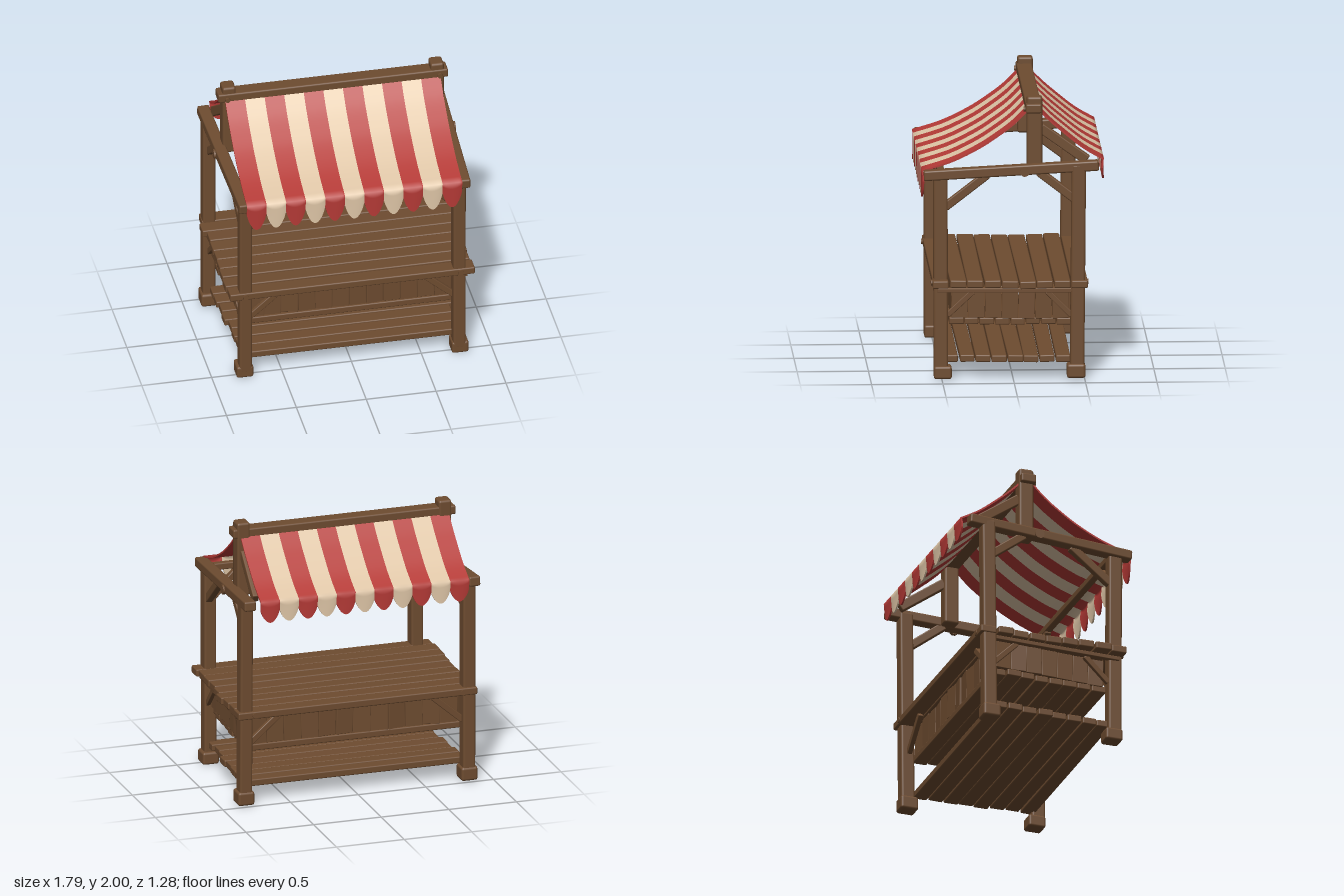
import * as THREE from 'three';
import { mergeGeometries } from 'three/addons/utils/BufferGeometryUtils.js';
import { RoundedBoxGeometry } from 'three/addons/geometries/RoundedBoxGeometry.js';

const mat = (name, color, side = THREE.FrontSide) => {
  const m = new THREE.MeshStandardMaterial({ color, side });
  m.name = name;
  return m;
};

export function createModel() {
  const group = new THREE.Group();
  const wood = mat('brown wood', 0x6e4c30);
  const red = mat('red cloth', 0xb53a36, THREE.DoubleSide);
  const cream = mat('cream cloth', 0xdfc6a7, THREE.DoubleSide);

  // Seeded variation for hand-cut planks
  let seed = 7;
  const vary = (amount) => {
    seed = (seed * 16807) % 2147483647;
    return (seed / 2147483647 - 0.5) * 2 * amount;
  };

  const add = (name, geometry, material = wood) => {
    const mesh = new THREE.Mesh(geometry, material);
    mesh.name = name;
    group.add(mesh);
    return mesh;
  };

  const block = (name, x, y, z, w, h, d) => {
    const radius = Math.min(w, h, d) * 0.18;
    const mesh = add(name, new RoundedBoxGeometry(w, h, d, 2, radius));
    mesh.position.set(x, y, z);
    return mesh;
  };

  // Timber running from a to b; w is its sideways width, h its height
  const beam = (name, a, b, w, h) => {
    const p = new THREE.Vector3(...a), q = new THREE.Vector3(...b);
    const dir = q.clone().sub(p);
    const mesh = block(name, 0, 0, 0, w, h, dir.length());
    dir.normalize();
    const up = Math.abs(dir.y) > 0.95 ? new THREE.Vector3(0, 0, 1) : new THREE.Vector3(0, 1, 0);
    const side = up.cross(dir).normalize();
    mesh.quaternion.setFromRotationMatrix(
      new THREE.Matrix4().makeBasis(side, dir.clone().cross(side), dir));
    mesh.position.copy(p.add(q).multiplyScalar(0.5));
    return mesh;
  };

  const bolt = (name, x, y, z, radius, alongX) => {
    const mesh = add(name, new THREE.CylinderGeometry(radius, radius, 0.025, 10));
    mesh.rotation[alongX ? 'z' : 'x'] = Math.PI / 2;
    mesh.position.set(x, y, z);
  };

  for (const s of [-1, 1]) {
    // Posts and feet, set wider apart at the back
    beam('frontPost', [s * 0.765, 0.04, 0.505], [s * 0.765, 1.45, 0.508], 0.09, 0.1);
    beam('backPost', [s * 0.825, 0.04, -0.447], [s * 0.822, 1.53, -0.46], 0.092, 0.1);
    block('frontFoot', s * 0.77, 0.045, 0.492, 0.12, 0.09, 0.125);
    block('backFoot', s * 0.825, 0.06, -0.44, 0.12, 0.1, 0.13);

    // Roof frame
    beam('rafter', [s * 0.785, 1.447, 0.625], [s * 0.83, 1.52, -0.6], 0.085, 0.072);
    beam('kingPost', [s * 0.745, 1.46, -0.152], [s * 0.745, 2, -0.152], 0.095, 0.108);
    beam('kingBrace', [s * 0.745, 1.775, -0.195], [s * 0.765, 1.545, -0.52], 0.05, 0.07);
    beam('frontRafterBrace', [s * 0.775, 1.22, 0.475], [s * 0.785, 1.45, 0.18], 0.05, 0.06);
    beam('backRafterBrace', [s * 0.815, 1.28, -0.43], [s * 0.8, 1.47, -0.18], 0.05, 0.06);
    beam('eaveBrace', [s * 0.75, 1.21, 0.5], [s * 0.53, 1.43, 0.5], 0.045, 0.05);
    bolt('rafterBolt', s * 0.853, 1.48, -0.08, 0.035, true);
    bolt('ridgeBolt', s * 0.76, 1.91, -0.088, 0.018, false);

    // Side rail and braces under the counter
    beam('sideRail', [s * 0.805, 0.632, 0.53], [s * 0.845, 0.632, -0.47], 0.04, 0.03);
    beam('frontSideBrace', [s * 0.785, 0.45, 0.46], [s * 0.795, 0.62, 0.28], 0.03, 0.04);
    beam('backSideBrace', [s * 0.825, 0.45, -0.41], [s * 0.815, 0.62, -0.24], 0.03, 0.04);
    beam('frontCounterBrace', [s * 0.74, 0.45, 0.48], [s * 0.51, 0.65, 0.48], 0.035, 0.045);
    beam('backCounterBrace', [s * 0.79, 0.45, -0.44], [s * 0.56, 0.65, -0.44], 0.035, 0.045);
    for (const z of [0.562, -0.518]) bolt('counterBolt', s * 0.77, 0.68, z, 0.02, false);

    // Upright boards closing the sides
    for (let i = 0; i < 7; i++) {
      const t = (i + 0.5) / 7;
      const board = block('sideBoard', s * (0.755 + 0.045 * t), 0.525 + vary(0.005),
        0.43 - 0.82 * t, 0.025, 0.2, 0.114);
      board.rotation.set(vary(0.03), vary(0.08), 0);
    }
  }
  beam('ridgeBeam', [-0.825, 1.92, -0.145], [0.82, 1.92, -0.145], 0.11, 0.065);
  beam('frontEaveBeam', [-0.77, 1.445, 0.5], [0.77, 1.445, 0.5], 0.05, 0.05);

  // Upright boards closing the front and back
  for (const [name, z, half] of [['frontBoard', 0.42, 0.73], ['backBoard', -0.385, 0.77]]) {
    for (let i = 0; i < 12; i++) {
      const w = 2 * half / 12;
      const board = block(name, -half + w * (i + 0.5), 0.53 + vary(0.008), z, w * 0.99, 0.22, 0.025);
      board.rotation.set(0, vary(0.15), vary(0.025));
    }
  }

  // Plank decks: counter, middle shelf and lower shelf
  const deck = (name, count, y, h, z0, z1, len0, len1, jag) => {
    const pitch = (z1 - z0) / count;
    for (let i = 0; i < count; i++) {
      const t = i / (count - 1);
      const edge = i === 0 || i === count - 1;
      const plank = block(name, vary(jag), y + (edge ? 0 : vary(0.003)), z0 + pitch * (i + 0.5),
        THREE.MathUtils.lerp(len0, len1, t) + vary(jag), h, Math.abs(pitch) * 0.93 + vary(0.004));
      plank.rotation.set(edge ? 0 : vary(0.025), vary(0.004), 0);
    }
  };
  deck('counterPlank', 9, 0.68, 0.054, 0.57, -0.525, 1.74, 1.77, 0.015);
  deck('middleShelfPlank', 8, 0.402, 0.048, 0.45, -0.41, 1.52, 1.6, 0.01);
  deck('lowerShelfPlank', 8, 0.138, 0.05, 0.49, -0.41, 1.54, 1.64, 0.01);

  // Cloth surface from a point rule; flip turns its front to the other side
  const sheet = (point, rows, cols, flip) => {
    const pos = [], index = [];
    for (let r = 0; r <= rows; r++) {
      for (let c = 0; c <= cols; c++) pos.push(...point(r / rows, c / cols));
    }
    for (let r = 0; r < rows; r++) {
      for (let c = 0; c < cols; c++) {
        const a = r * (cols + 1) + c, b = a + 1, d = a + cols + 1, e = d + 1;
        index.push(...(flip ? [a, e, d, a, b, e] : [a, d, e, a, e, b]));
      }
    }
    const g = new THREE.BufferGeometry();
    g.setAttribute('position', new THREE.Float32BufferAttribute(pos, 3));
    g.setIndex(index);
    g.computeVertexNormals();
    return g;
  };

  // Striped canopy: thick sagging cloth ending in a scalloped valance, points are (z, y)
  const stripes = 11, left = -0.775, stripeWidth = 1.54 / stripes, thickness = 0.012;
  const rows = 20, bend = 0.8;
  const slopes = [
    { name: 'front', pts: [[-0.1, 1.905], [0, 1.805], [0.12, 1.715], [0.245, 1.635], [0.43, 1.545], [0.637, 1.48]],
      notch: 1.4, tip: 1.28, flip: false },
    { name: 'back', pts: [[-0.19, 1.905], [-0.27, 1.825], [-0.35, 1.755], [-0.5, 1.635], [-0.638, 1.555]],
      notch: 1.485, tip: 1.4, flip: true },
  ];
  for (const { name, pts, notch, tip, flip } of slopes) {
    const curve = new THREE.SplineCurve(pts.map((p) => new THREE.Vector2(...p)));
    const [edgeZ, edgeY] = pts[pts.length - 1];
    const out = flip ? -1 : 1;
    const parts = [[], []];
    for (let i = 0; i < stripes; i++) {
      // v runs from ridge to hem, u across the stripe, depth into the cloth
      const cloth = (v, u, depth) => {
        const x = left + stripeWidth * (i + u);
        if (v <= bend + 1e-6) {
          const t = Math.min(v / bend, 1);
          const p = curve.getPoint(t), d = curve.getTangent(t);
          return [x, p.y - out * d.x * depth, p.x + out * d.y * depth];
        }
        const k = (v - bend) / (1 - bend);
        const arc = Math.pow(Math.sin(Math.PI * Math.min(u, 0.99999)), 0.75);
        const y = THREE.MathUtils.lerp(edgeY, notch + (tip - notch) * arc, k);
        return [x, y, edgeZ - out * depth + out * 0.008 * k * (Math.sin(Math.PI * u) - 0.7)];
      };
      const list = parts[i % 2];
      list.push(sheet((v, u) => cloth(v, u, 0), rows, 12, flip));
      list.push(sheet((v, u) => cloth(v, u, thickness), rows, 12, !flip));
      list.push(sheet((v, u) => cloth(1, u, v * thickness), 1, 12, flip));
      if (i === 0) list.push(sheet((v, u) => cloth(v, 0, (1 - u) * thickness), rows, 1, flip));
      if (i === stripes - 1) list.push(sheet((v, u) => cloth(v, 1, u * thickness), rows, 1, flip));
    }
    add(name + 'CanopyRedStripes', mergeGeometries(parts[0]), red);
    add(name + 'CanopyCreamStripes', mergeGeometries(parts[1]), cream);
  }

  return group;
}
